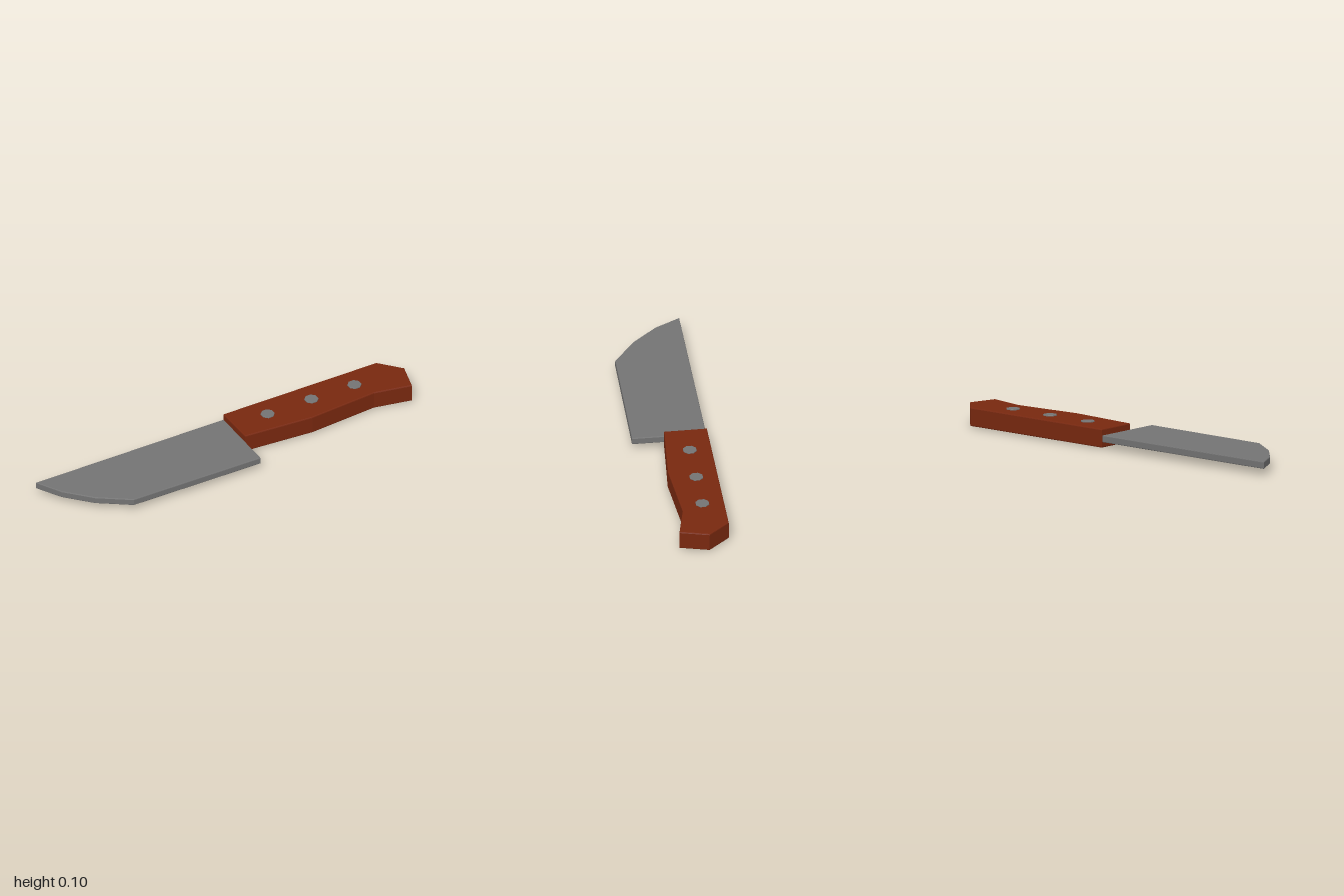
import * as THREE from 'three';

const steel = new THREE.MeshStandardMaterial({ color: 0x737373 });
steel.name = 'steel';
const wood = new THREE.MeshStandardMaterial({ color: 0x78280f });
wood.name = 'reddish wood';

// Lying plate: outline of [x, z] points, from height y0 to y1, with softened edges
function plate(name, outline, y0, y1, bevel, material) {
  const shape = new THREE.Shape(outline.map(([x, z]) => new THREE.Vector2(x, -z)));
  const geometry = new THREE.ExtrudeGeometry(shape, {
    depth: y1 - y0 - 2 * bevel,
    bevelEnabled: true,
    bevelThickness: bevel,
    bevelSize: bevel,
    bevelOffset: -bevel,
    bevelSegments: 2,
  });
  geometry.rotateX(-Math.PI / 2);
  geometry.translate(0, y0 + bevel, 0);
  const mesh = new THREE.Mesh(geometry, material);
  mesh.name = name;
  return mesh;
}

export function createModel() {
  const knife = new THREE.Group();
  knife.name = 'knife';

  // Blade: straight spine at the back, curved belly rising to the tip
  knife.add(plate('blade', [
    [-1, -0.192], [-0.93, -0.065], [-0.815, 0.06], [-0.66, 0.17],
    [0.045, 0.187], [0.05, -0.177],
  ], 0.035, 0.07, 0.004, steel));

  // Handle: swelling grip with a hooked butt
  knife.add(plate('handle', [
    [0.05, -0.18], [0.05, 0.03], [0.41, 0.063], [0.77, 0.041],
    [0.96, 0.083], [1, -0.06], [0.905, -0.167],
  ], 0.008, 0.1, 0.005, wood));

  // Rivets pass right through the handle
  for (const [x, z] of [[0.235, -0.07], [0.48, -0.067], [0.72, -0.063]]) {
    const outline = [];
    for (let i = 0; i < 8; i++) {
      const a = -(i + 0.5) * Math.PI / 4;
      outline.push([x + 0.035 * Math.cos(a), z + 0.035 * Math.sin(a)]);
    }
    knife.add(plate('rivet', outline, 0, 0.105, 0.002, steel));
  }
  return knife;
}
